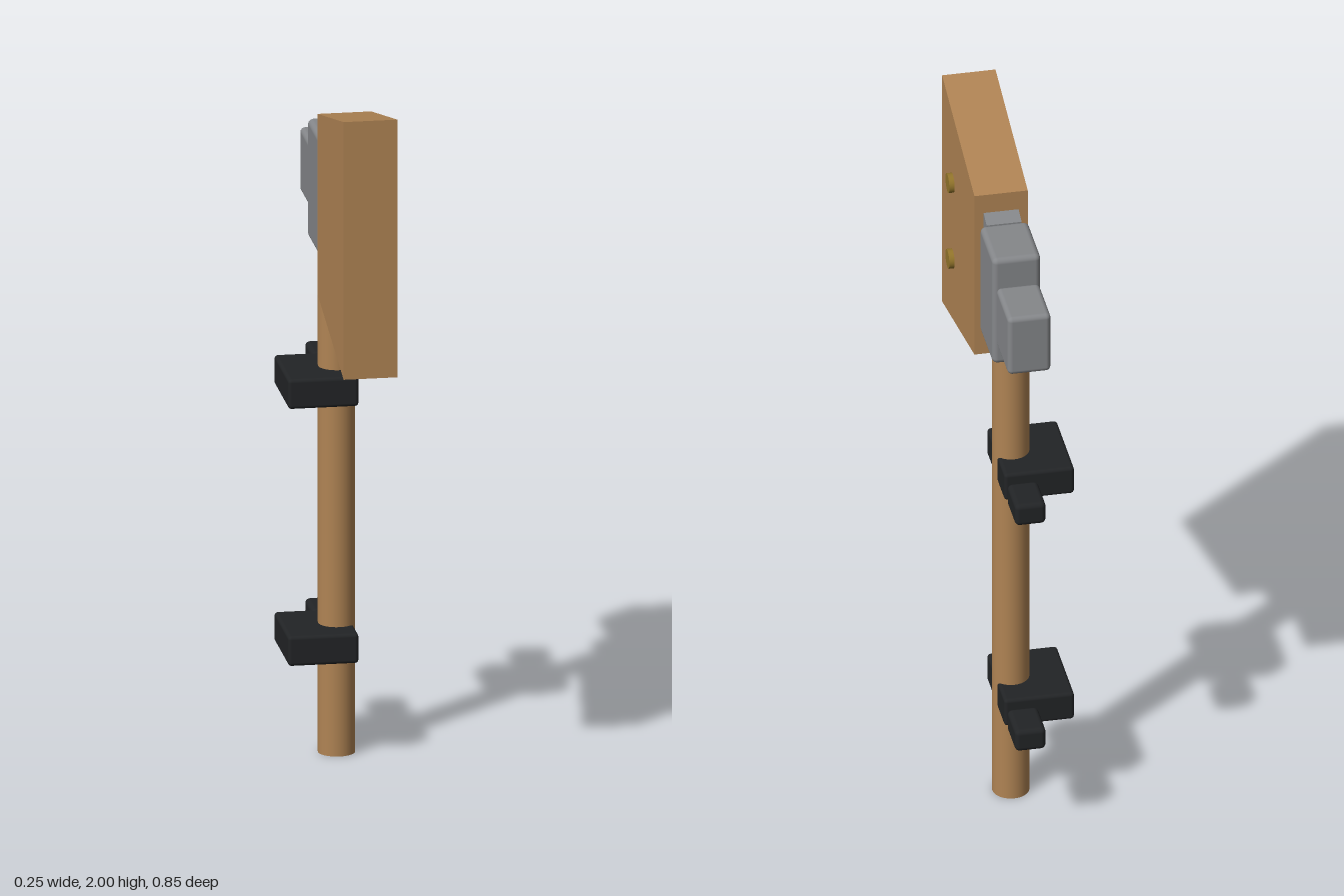
import * as THREE from 'three';
import { RoundedBoxGeometry } from 'three/addons/geometries/RoundedBoxGeometry.js';

const material = (color) => new THREE.MeshStandardMaterial({ color });

export function createModel() {
  const model = new THREE.Group();
  const wood = material(0xb08454);
  const grey = material(0x85878a);
  const black = material(0x222426);
  const brass = material(0x94762c);
  const poleX = 0.03, poleZ = -0.15;

  function add(parent, name, geometry, mat, x = 0, y = 0, z = 0) {
    const mesh = new THREE.Mesh(geometry, mat);
    mesh.name = name;
    mesh.position.set(x, y, z);
    parent.add(mesh);
    return mesh;
  }

  // Rounded block given by its [min, max] range on each axis
  function block(parent, name, mat, [x0, x1], [y0, y1], [z0, z1], radius) {
    const geometry = new RoundedBoxGeometry(x1 - x0, y1 - y0, z1 - z0, 3, radius);
    return add(parent, name, geometry, mat, (x0 + x1) / 2, (y0 + y1) / 2, (z0 + z1) / 2);
  }

  // Side profile of [z, y] points, extruded across x
  function slab(name, mat, profile, x0, x1) {
    const shape = new THREE.Shape(profile.map(([z, y]) => new THREE.Vector2(z, y)));
    const geometry = new THREE.ExtrudeGeometry(shape, { depth: x1 - x0, bevelEnabled: false });
    geometry.rotateY(-Math.PI / 2);
    return add(model, name, geometry, mat, x1);
  }

  // Wooden pole, running up into the hub
  add(model, 'pole', new THREE.CylinderGeometry(0.052, 0.052, 1.6, 32), wood, poleX, 0.8, poleZ);

  // Tapered board and the wedge plate that joins it to the hub
  slab('board', wood, [[-0.027, 1.365], [0.427, 1.253], [0.427, 2], [-0.027, 1.888]], -0.043, 0.108);
  slab('joiningPlate', grey, [[-0.07, 1.473], [-0.025, 1.46], [-0.025, 1.83], [-0.07, 1.815]], -0.017, 0.082);

  // Metal hub and the smaller counterweight behind it
  block(model, 'hub', grey, [-0.037, 0.1], [1.467, 1.812], [-0.245, -0.06], 0.016);
  block(model, 'counterweight', grey, [-0.029, 0.093], [1.545, 1.732], [-0.427, -0.257], 0.014);

  // Brass bolts on the board's left face
  for (const y of [1.49, 1.74]) {
    const bolt = add(model, 'bolt', new THREE.CylinderGeometry(0.028, 0.028, 0.03, 24), brass, 0.108, y, 0.278);
    bolt.rotation.z = -Math.PI / 2;
  }

  // Two clamps around the pole, each with a small knob behind
  for (const y of [0.332, 1.077]) {
    const clamp = new THREE.Group();
    clamp.name = 'clamp';
    clamp.position.y = y;
    model.add(clamp);
    block(clamp, 'clampBody', black, [-0.125, 0.073], [-0.043, 0.043], [-0.277, -0.026], 0.01);
    block(clamp, 'clampKnob', black, [-0.015, 0.072], [-0.034, 0.034], [-0.427, -0.304], 0.014);
  }

  return model;
}
